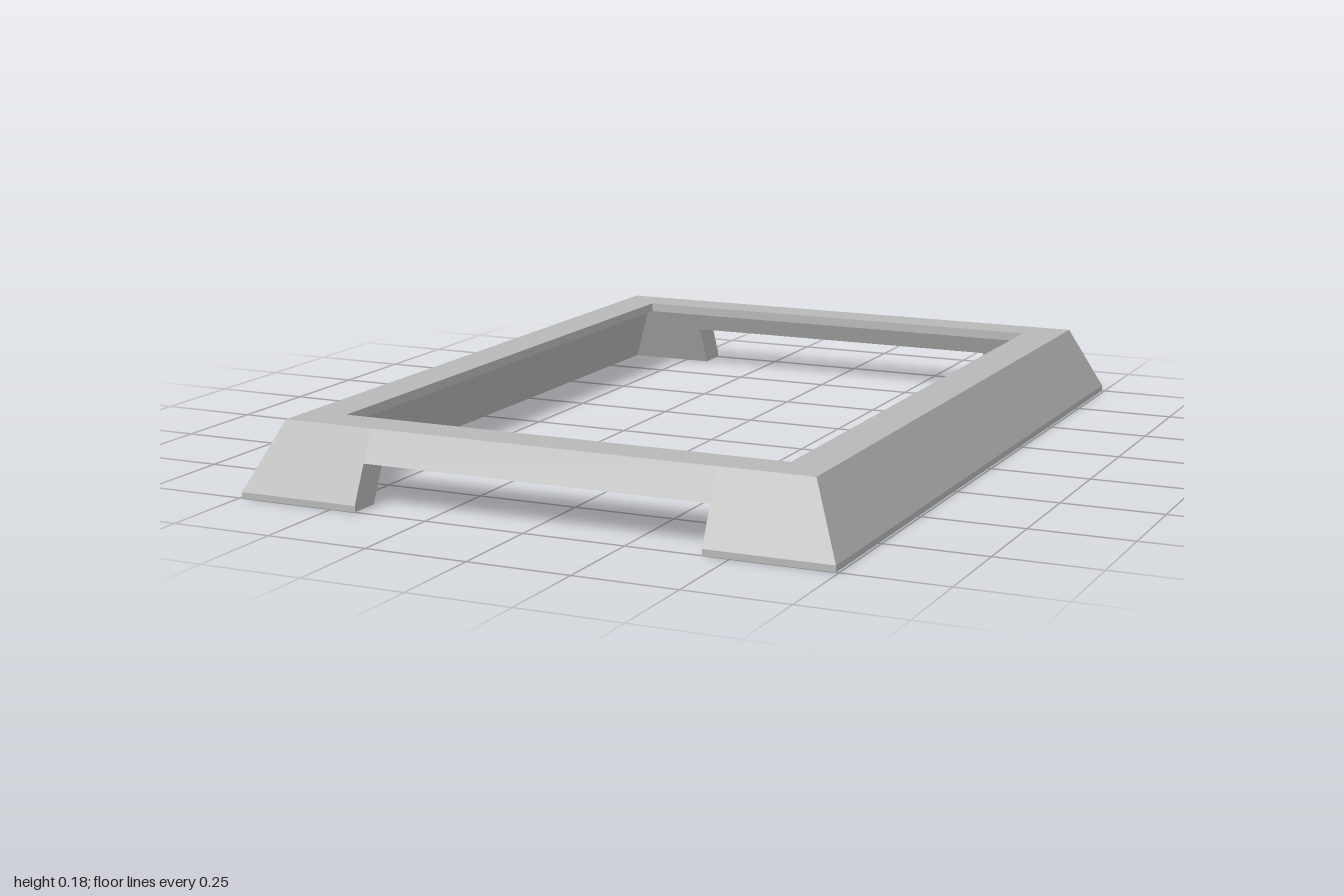
import * as THREE from 'three';

const HALF_W = 0.743, HALF_L = 1.0;       // footprint half sizes
const NOTCH_X = 0.435, NOTCH_Y = 0.105;   // cut-out in the end rails

// Wall cross-section as [inset from outer edge, height]
const outerLow = [[0, 0], [0, 0.015]];
const outerCut = [0.042, NOTCH_Y];
const lip = [[0.077, 0.18], [0.178, 0.18], [0.178, 0.157], [0.153, 0.157]];
const innerCut = [0.129, NOTCH_Y];
const innerLow = [0.08, 0];

const fullProfile = [...outerLow, ...lip, innerLow];
const upperProfile = [outerCut, ...lip, innerCut];
const footProfile = [...outerLow, outerCut, innerCut, innerLow];

// Sweep a profile along x between two ends that may depend on the inset (mitre);
// the outer side faces +z at the given depth
function sweep(profile, depth, startX, endX) {
  const pos = [];
  const point = ([d, y], end) => [end(d), y, depth - d];
  profile.forEach((p, i) => {
    const q = profile[(i + 1) % profile.length];
    const a = point(p, startX), b = point(p, endX), c = point(q, endX), e = point(q, startX);
    pos.push(...a, ...b, ...c, ...a, ...c, ...e);
  });
  return toGeometry(pos);
}

// Flat cheek of a foot, facing the notch
function cheek(depth, x, facing) {
  const pts = footProfile.map(([d, y]) => [x, y, depth - d]);
  if (facing > 0) pts.reverse();
  const pos = [];
  for (let i = 1; i < pts.length - 1; i++) pos.push(...pts[0], ...pts[i], ...pts[i + 1]);
  return toGeometry(pos);
}

function toGeometry(pos) {
  const g = new THREE.BufferGeometry();
  g.setAttribute('position', new THREE.Float32BufferAttribute(pos, 3));
  g.computeVertexNormals();
  return g;
}

export function createModel() {
  const model = new THREE.Group();
  model.name = 'bezelFrame';
  const grey = new THREE.MeshStandardMaterial({ color: 0xb8b8b8 });
  grey.name = 'grey plastic';

  const add = (parent, name, geometry) => {
    const mesh = new THREE.Mesh(geometry, grey);
    mesh.name = name;
    parent.add(mesh);
  };

  for (const side of [0, 1]) {
    // Long side rails, mitred at both ends
    const sideRail = new THREE.Group();
    sideRail.name = side ? 'rightRail' : 'leftRail';
    add(sideRail, 'sideWall', sweep(fullProfile, HALF_W, d => d - HALF_L, d => HALF_L - d));
    sideRail.rotation.y = Math.PI / 2 + side * Math.PI;
    model.add(sideRail);

    // Short end rails: bridge over the notch with a foot at each corner
    const endRail = new THREE.Group();
    endRail.name = side ? 'backRail' : 'frontRail';
    add(endRail, 'bridge', sweep(upperProfile, HALF_L, () => -NOTCH_X, () => NOTCH_X));
    add(endRail, 'footA', sweep(fullProfile, HALF_L, d => d - HALF_W, () => -NOTCH_X));
    add(endRail, 'footB', sweep(fullProfile, HALF_L, () => NOTCH_X, d => HALF_W - d));
    add(endRail, 'cheekA', cheek(HALF_L, -NOTCH_X, 1));
    add(endRail, 'cheekB', cheek(HALF_L, NOTCH_X, -1));
    endRail.rotation.y = side * Math.PI;
    model.add(endRail);
  }
  return model;
}
